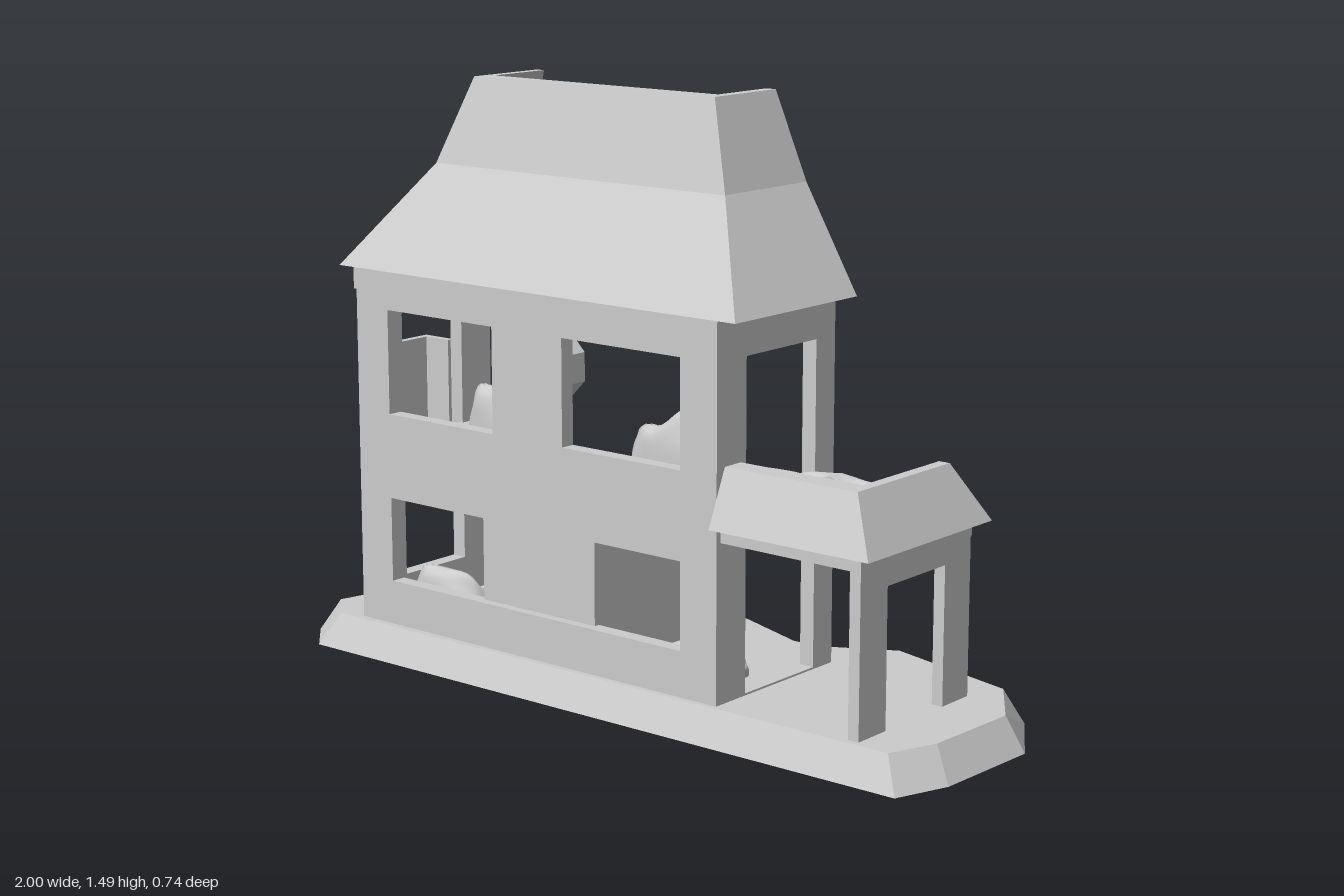
import * as THREE from 'three';

const mat = new THREE.MeshStandardMaterial({ color: 0xcccccc, side: THREE.DoubleSide });

export function createModel() {
  const house = new THREE.Group();
  house.name = 'dollhouse';
  const add = (name, geo) => {
    const m = new THREE.Mesh(geo, mat);
    m.name = name;
    house.add(m);
    return m;
  };
  // box from its limits on each axis
  const box = (name, x0, x1, y0, y1, z0, z1) => {
    const g = new THREE.BoxGeometry(x1 - x0, y1 - y0, z1 - z0);
    g.translate((x0 + x1) / 2, (y0 + y1) / 2, (z0 + z1) / 2);
    return add(name, g);
  };
  const shapeOf = (pts, holes = []) => {
    const s = new THREE.Shape(pts.map(p => new THREE.Vector2(...p)));
    for (const [a0, a1, b0, b1] of holes)
      s.holes.push(new THREE.Path([[a0, b0], [a0, b1], [a1, b1], [a1, b0]].map(p => new THREE.Vector2(...p))));
    return s;
  };
  const extrude = (s, depth) => new THREE.ExtrudeGeometry(s, { depth, bevelEnabled: false });
  // horizontal plate from an (x, z) outline
  const plate = (pts, y0, y1) =>
    extrude(shapeOf(pts.map(([x, z]) => [x, -z])), y1 - y0).rotateX(-Math.PI / 2).translate(0, y0, 0);
  // upright panel from a (z, y) outline, between x0 and x1
  const sidePanel = (name, pts, x0, x1, holes) =>
    add(name, extrude(shapeOf(pts, holes), x1 - x0).rotateY(-Math.PI / 2).translate(x1, 0, 0));
  const rect = (a0, a1, b0, b1) => [[a0, b0], [a1, b0], [a1, b1], [a0, b1]];
  const curve = (pts, n = 24) =>
    new THREE.CatmullRomCurve3(pts.map(([x, z]) => new THREE.Vector3(x, 0, z)))
      .getPoints(n).map(p => [p.x, p.z]);

  // thick shell lofted through levels of outer and inner paths
  const shell = (name, outer, inner) => {
    const v = [];
    const quad = (a, b, c, d) => v.push(...a, ...b, ...c, ...a, ...c, ...d);
    const top = outer.length - 1, end = outer[0].length - 1;
    for (let j = 0; j < top; j++) {
      const [O, P, I, J] = [outer[j], outer[j + 1], inner[j], inner[j + 1]];
      for (let i = 0; i < end; i++) {
        quad(O[i], O[i + 1], P[i + 1], P[i]);
        quad(I[i + 1], I[i], J[i], J[i + 1]);
      }
      quad(I[0], O[0], P[0], J[0]);
      quad(O[end], I[end], J[end], P[end]);
    }
    for (let i = 0; i < end; i++) {
      quad(outer[top][i], outer[top][i + 1], inner[top][i + 1], inner[top][i]);
      quad(outer[0][i + 1], outer[0][i], inner[0][i], inner[0][i + 1]);
    }
    const g = new THREE.BufferGeometry();
    g.setAttribute('position', new THREE.Float32BufferAttribute(v, 3));
    g.computeVertexNormals();
    return add(name, g);
  };

  // base: faceted outline tapering towards its top
  const base = plate([[-1, 0.27], [-0.9, 0.37], [0.94, 0.36], [0.99, 0.22], [1, -0.08], [0.88, -0.265],
    [0.49, -0.372], [0.3, -0.26], [0.22, -0.258], [0, -0.345], [-0.4, -0.355], [-0.71, -0.26], [-0.91, -0.14]], 0, 0.085);
  const bp = base.attributes.position;
  for (let i = 0; i < bp.count; i++)
    if (bp.getY(i) > 0.04) bp.setXYZ(i, bp.getX(i) * 0.95, 0.085, bp.getZ(i) * 0.89);
  base.computeVertexNormals();
  add('base', base);

  // walls with window openings
  const front = shapeOf(rect(-0.79, 0.39, 0.085, 1.01),
    [[-0.68, -0.32, 0.64, 0.91], [-0.09, 0.28, 0.64, 0.91], [-0.68, 0.28, 0.2, 0.42]]);
  add('frontWall', extrude(front, 0.04).translate(0, 0, 0.27));
  sidePanel('rightSideWall', rect(-0.14, 0.27, 0.085, 1.01), -0.79, -0.75,
    [[-0.03, 0.19, 0.18, 0.43], [-0.03, 0.19, 0.5, 0.91]]);
  sidePanel('leftSideWall', rect(-0.145, 0.27, 0.085, 1.01), 0.35, 0.39,
    [[-0.07, 0.2, 0.09, 0.48], [-0.07, 0.2, 0.555, 0.91]]);
  box('eaveTrim', -0.81, -0.79, 0.95, 1.01, -0.14, 0.3);

  // bay hung outside the side window, open at the top
  box('bayFloor', -0.89, -0.79, 0.48, 0.5, -0.04, 0.2);
  box('bayFront', -0.89, -0.87, 0.48, 0.77, -0.04, 0.2);
  for (const z of [-0.04, 0.18]) box('baySide', -0.87, -0.79, 0.48, 0.77, z, z + 0.02);

  // floors with curved open edges
  const midEdge = [
    ...curve([[0.77, -0.14], [0.39, -0.125], [0.25, -0.15], [0.1, -0.11], [0, 0.04]]),
    [-0.02, 0.16], [-0.36, 0.16],
    ...curve([[-0.37, 0.05], [-0.46, -0.06], [-0.6, -0.125], [-0.76, -0.1]], 16)];
  add('middleFloor', plate([[-0.76, 0.28], [0.8, 0.3], [0.8, -0.14], ...midEdge], 0.48, 0.55));
  const atticEdge = curve([[0.39, -0.12], [0.3, -0.03], [0.17, -0.1], [0, -0.15], [-0.2, -0.165],
    [-0.4, -0.15], [-0.57, -0.1], [-0.7, -0.03], [-0.79, -0.12]], 40);
  add('atticFloor', plate([[-0.79, 0.28], [0.39, 0.28], ...atticEdge], 0.945, 1.015));

  // main roof: two pitches around three sides, open at the back
  const uPath = (y, x0, x1, zf, zb) => [[x0, y, zb], [x0, y, zf], [x1, y, zf], [x1, y, zb]];
  shell('mainRoof',
    [uPath(1.01, -0.84, 0.45, 0.32, -0.15), uPath(1.27, -0.66, 0.28, 0.145, -0.17), uPath(1.49, -0.58, 0.2, 0.085, -0.15)],
    [uPath(1.01, -0.79, 0.4, 0.27, -0.15), uPath(1.27, -0.62, 0.24, 0.095, -0.17), uPath(1.49, -0.555, 0.17, 0.035, -0.15)]);

  // annex: sloped parapet on two sides, posts and beams
  const lPath = (y, x, zf, zb) => [[0.39, y, zf], [x, y, zf], [x, y, zb]];
  shell('annexRoof',
    [lPath(0.52, 0.845, 0.34, -0.155), lPath(0.66, 0.77, 0.28, -0.085)],
    [lPath(0.52, 0.74, 0.22, -0.155), lPath(0.66, 0.74, 0.22, -0.085)]);
  box('annexFrontPost', 0.77, 0.8, 0.085, 0.52, 0.2, 0.305);
  box('annexBackPost', 0.77, 0.8, 0.085, 0.52, -0.135, -0.03);
  box('annexBeam', 0.77, 0.8, 0.43, 0.52, -0.03, 0.2);

  // staircase: two steep side panels, a front panel and steps
  const stringer = [[-0.145, 0.085], [-0.145, 0.13], [0.03, 0.585], [0.075, 0.585], [0.09, 0.55], [0.285, 0.55], [0.285, 0.085]];
  for (const x of [-0.38, -0.04]) sidePanel('stairSide', stringer, x, x + 0.03);
  box('stairFrontPanel', -0.38, -0.01, 0.085, 0.5, 0.265, 0.285);
  for (let i = 1; i < 6; i++) {
    const z = -0.12 + i * 0.032;
    box('step', -0.35, -0.04, 0.085, 0.16 + i * 0.075, z - 0.032, i < 5 ? z + 0.01 : 0.165);
  }
  add('bottomStep', plate([[-0.36, -0.09], [-0.36, -0.13], [-0.29, -0.168], [-0.1, -0.168], [-0.03, -0.13], [-0.03, -0.09]], 0.085, 0.165));

  // octagonal disc on the inner front wall
  add('wallDisc', new THREE.CylinderGeometry(0.095, 0.095, 0.07, 8).toNonIndexed()
    .rotateX(Math.PI / 2).rotateZ(Math.PI / 8).translate(-0.2, 0.82, 0.235)).geometry.computeVertexNormals();

  // soft furniture: rounded block whose top follows height(u, v), u and v in -1..1
  const soft = (name, x0, x1, y, h, z0, z1, height) => {
    const g = new THREE.SphereGeometry(1, 40, 28);
    const p = g.attributes.position;
    const pw = (a, e) => Math.sign(a) * Math.abs(a) ** e;
    for (let i = 0; i < p.count; i++) {
      const [a, b, c] = [p.getX(i), p.getY(i), p.getZ(i)];
      const u = pw(a, 0.75), v = pw(c, 0.75);
      const wob = 1 + 0.04 * Math.sin(5 * a + 3 * c) * Math.cos(4 * c - 6 * b);
      const up = b > 0 ? pw(b, 0.5) * height(u, v) * wob : 0;
      p.setXYZ(i, (x0 + x1) / 2 + u * wob * (x1 - x0) / 2, y + up * h, (z0 + z1) / 2 + v * wob * (z1 - z0) / 2);
    }
    g.computeVertexNormals();
    return add(name, g);
  };
  const step = THREE.MathUtils.smoothstep;
  // seat with a raised back towards the front wall and lower arms
  const seat = (u, v) => Math.max(0.42 + 0.58 * step(v, 0.1, 0.6), 0.42 + 0.35 * step(Math.abs(u), 0.5, 0.85));
  const bowls = (u, v) => 1 - 0.5 * Math.exp(-8 * ((Math.abs(u) - 0.48) ** 2 + v * v * 0.5));
  soft('atticSofa', -0.42, 0.01, 1.01, 0.19, -0.165, 0.14, seat);
  soft('terraceTubs', 0.43, 0.74, 0.55, 0.1, 0.05, 0.22, bowls);
  soft('armchair', 0, 0.26, 0.55, 0.22, 0.03, 0.21, (u, v) => seat(u, v) * (0.75 + 0.25 * step(u, -0.3, 0.4)));
  soft('tallChair', -0.52, -0.32, 0.55, 0.2, 0.04, 0.23, seat);
  soft('loungeSeat', 0.05, 0.31, 0.085, 0.085, 0.03, 0.2, u => 0.75 + 0.25 * Math.cos(u * 3));
  soft('groundSofa', -0.74, -0.48, 0.085, 0.15, 0.04, 0.22, seat);
  return house;
}
